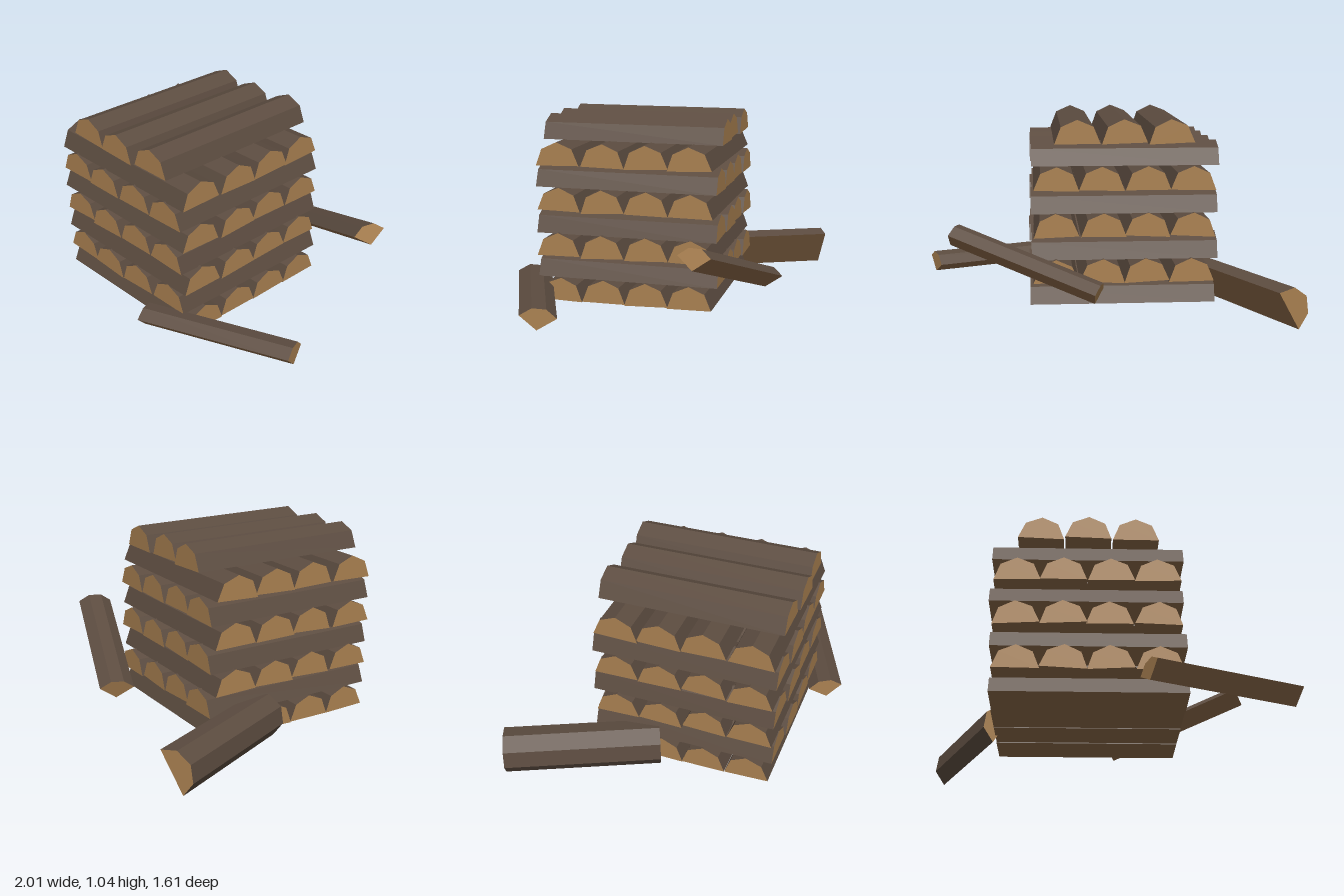
import * as THREE from 'three';

const bark = new THREE.MeshStandardMaterial({ color: 0x5c4c40, name: 'bark' });
const cutEnd = new THREE.MeshStandardMaterial({ color: 0xaa8151, name: 'cut end wood' });
const splitFace = new THREE.MeshStandardMaterial({ color: 0x8a6848, name: 'split wood' });
const materials = [bark, splitFace, cutEnd];

const arc = (r, from, to, steps, stretch = 1) => Array.from({ length: steps + 1 }, (_, i) => {
  const t = THREE.MathUtils.degToRad(from + (to - from) * i / steps);
  return [r * Math.cos(t), r * Math.sin(t) * stretch];
});

// Cross-sections, counter-clockwise; "flat" lists the edges that are split wood
const half = { points: arc(0.121, 0, 180, 4, 1.05), flat: [4] };
const wedge = { points: [[0, 0], ...arc(0.117, 38, 146, 3)], flat: [0, 4] };

// A straight log with the given section between two points, rolled about its axis
function makeLog(name, section, start, end, rollDegrees) {
  const a = end.clone().sub(start).normalize();
  const p = new THREE.Vector3(0, 1, 0).cross(a).normalize();
  const q = a.clone().cross(p);
  const roll = THREE.MathUtils.degToRad(rollDegrees);
  const c = Math.cos(roll), s = Math.sin(roll);
  const ring = (base) => section.points.map(([x, y]) => base.clone()
    .addScaledVector(p, x * c - y * s).addScaledVector(q, x * s + y * c));
  const A = ring(start), B = ring(end), n = A.length;
  const faces = [[], [], []]; // bark, split, ends
  for (let i = 0; i < n; i++) {
    const j = (i + 1) % n;
    faces[section.flat.includes(i) ? 1 : 0].push(A[i], A[j], B[j], A[i], B[j], B[i]);
  }
  for (let i = 1; i < n - 1; i++) faces[2].push(B[0], B[i], B[i + 1], A[0], A[i + 1], A[i]);

  const geometry = new THREE.BufferGeometry().setFromPoints(faces.flat());
  let offset = 0;
  faces.forEach((list, m) => {
    geometry.addGroup(offset, list.length, m);
    offset += list.length;
  });
  geometry.computeVertexNormals();
  const mesh = new THREE.Mesh(geometry, materials);
  mesh.name = name;
  return mesh;
}

export function createModel() {
  const model = new THREE.Group();
  model.name = 'firewoodPile';
  let seed = 7;
  const jitter = (amount) => {
    seed = (seed * 16807) % 2147483647;
    return (seed / 2147483647 * 2 - 1) * amount;
  };
  const V = (x, y, z) => new THREE.Vector3(x, y, z);

  // Criss-cross stack: even layers run along x, odd layers along z
  const acrossX = [-0.48, -0.24, 0, 0.245];
  const acrossZ = [0.49, 0.245, 0.005, -0.235];
  const topX = [-0.36, -0.112, 0.132];
  for (let layer = 0; layer < 8; layer++) {
    const group = new THREE.Group();
    group.name = `stackLayer${layer + 1}`;
    const alongX = layer % 2 === 0;
    const slots = layer === 7 ? topX : alongX ? acrossZ : acrossX;
    for (const slot of slots) {
      const y = 0.036 + 0.124 * layer;
      const side = slot + jitter(0.006), shift = jitter(0.01), roll = jitter(3.5);
      const [start, end] = alongX
        ? [V(-0.613 + shift, y, side), V(0.383 + shift, y, side)]
        : [V(side, y, -0.375 + shift), V(side, y, 0.625 + shift)];
      group.add(makeLog('stackedLog', half, start, end, roll));
    }
    model.add(group);
  }

  // Loose logs around the stack
  model.add(makeLog('looseFrontLog', wedge, V(0.185, 0.055, 0.725), V(0.955, 0.055, 0.4), -10));
  model.add(makeLog('leaningBackLog', wedge, V(0.055, 0.1, -0.587), V(0.805, 0.372, -0.352), 0));
  model.add(makeLog('looseSideLog', half, V(-0.911, 0.098, -0.785), V(-0.561, 0.098, -0.025), 58));

  return model;
}
